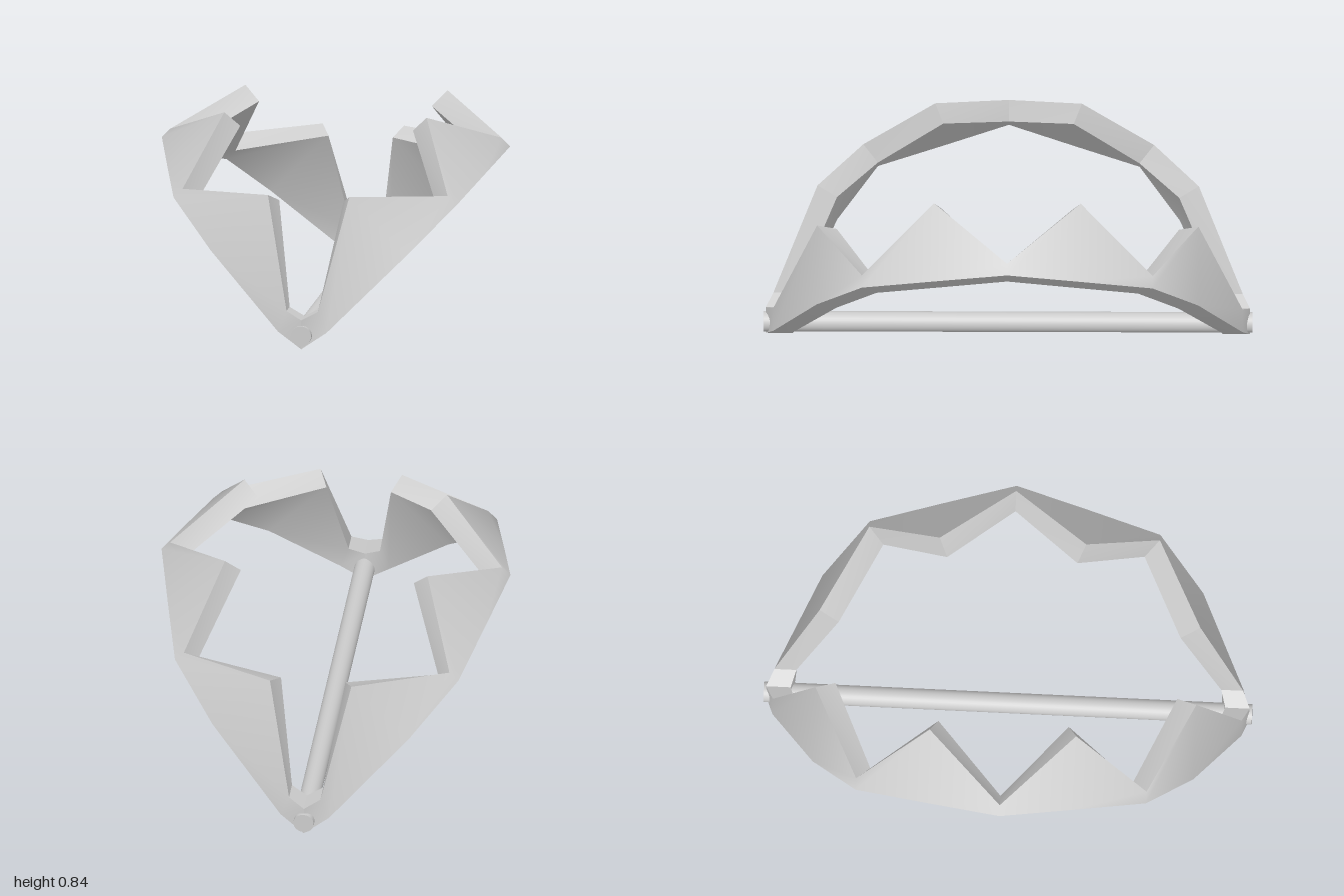
import * as THREE from 'three';
import { toCreasedNormals } from 'three/addons/utils/BufferGeometryUtils.js';

// Half a jaw from hinge to middle; each station has four corners:
// outer bottom, outer top, inner top, inner bottom
const hinge = [
  [[0, 0, 0.99], [0, 0.12, 0.99], [0, 0.12, 0.89], [0, 0, 0.88]],
  [[0.1, 0.065, 0.96], [0.065, 0.152, 0.96], [0.065, 0.152, 0.87], [0.1, 0.065, 0.87]],
];

// Stations of the sloping arc: outer x, z, inner x, z, and tooth height
const arc = [
  [0.405, 0.78, 0.37, 0.70, 0.237],
  [0.585, 0.595, 0.53, 0.535, 0.037],
  [0.653, 0.30, 0.592, 0.267, 0.235],
  [0.72, 0, 0.655, 0, 0.035],
];

function jawGeometry() {
  const slope = 0.044; // the arc lies in the plane y = x - slope
  const half = [...hinge, ...arc.map(([ox, oz, ix, iz, h]) => [
    [ox, ox - slope, oz],
    [ox - h, ox - slope + h, oz],
    [ix - h, ix - slope + h, iz],
    [ix, ix - slope, iz],
  ])];
  // mirror the half front to back
  const back = half.slice(0, -1).reverse().map(ring => ring.map(([x, y, z]) => [x, y, -z]));
  const rings = [...half, ...back];

  const pos = [];
  for (let i = 0; i < rings.length - 1; i++) {
    for (let j = 0; j < 4; j++) {
      const k = (j + 1) % 4;
      const a = rings[i][j], b = rings[i][k];
      const c = rings[i + 1][k], d = rings[i + 1][j];
      pos.push(...a, ...d, ...c, ...a, ...c, ...b);
    }
  }
  const geo = new THREE.BufferGeometry();
  geo.setAttribute('position', new THREE.Float32BufferAttribute(pos, 3));
  return toCreasedNormals(geo, THREE.MathUtils.degToRad(40));
}

export function createModel() {
  const model = new THREE.Group();
  const metal = new THREE.MeshStandardMaterial({ color: 0xcccccc });

  // Two toothed jaws, one turned half round
  const jaw = jawGeometry();
  ['leftJaw', 'rightJaw'].forEach((name, i) => {
    const mesh = new THREE.Mesh(jaw, metal);
    mesh.name = name;
    mesh.rotation.y = i * Math.PI;
    model.add(mesh);
  });

  // Rod through both hinges
  const rod = new THREE.Mesh(new THREE.CylinderGeometry(0.042, 0.042, 2, 32), metal);
  rod.name = 'hingeRod';
  rod.rotation.x = Math.PI / 2;
  rod.position.y = 0.055;
  model.add(rod);

  return model;
}
